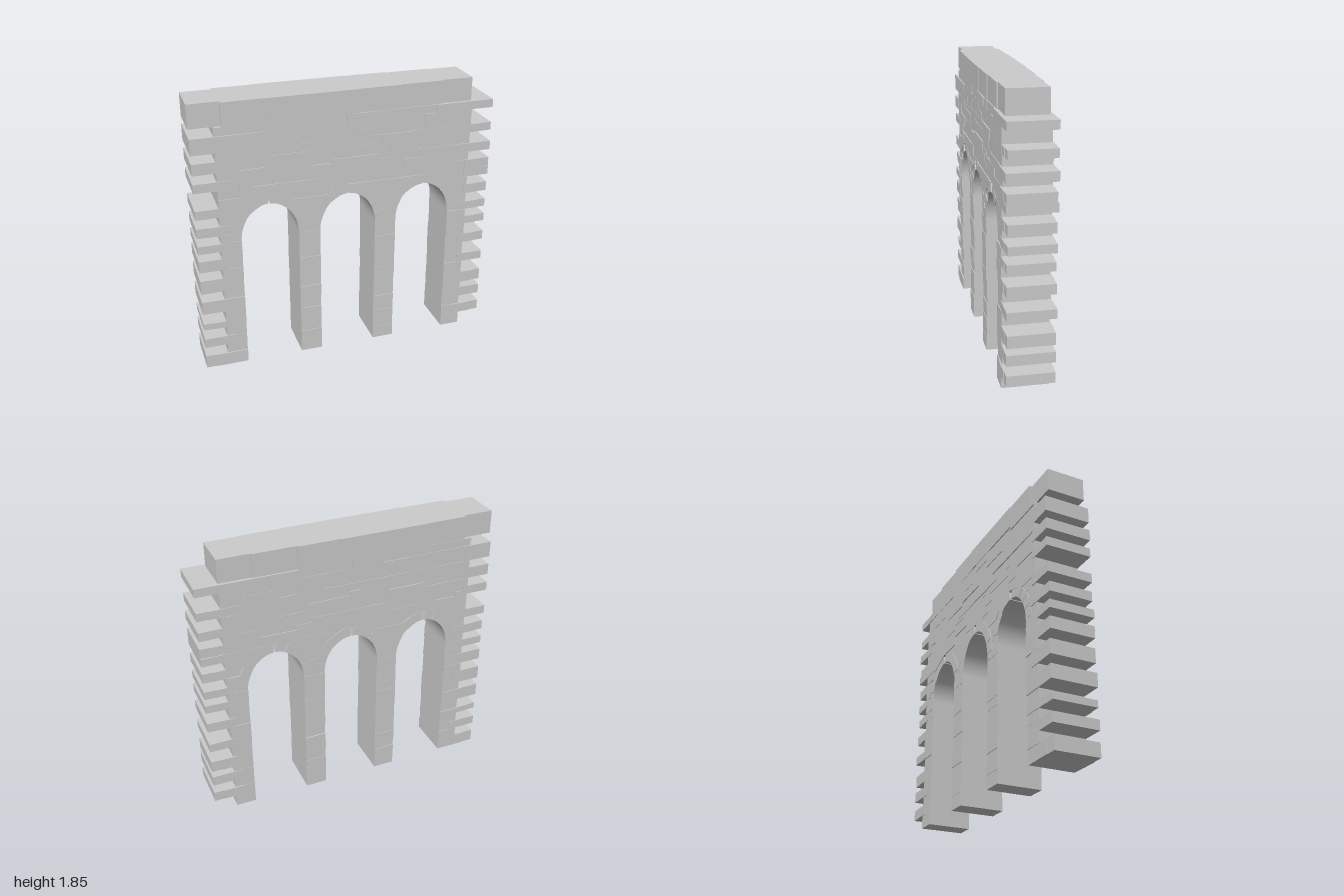
import * as THREE from 'three';

const stone = new THREE.MeshStandardMaterial({ color: 0xcccccc });
const SPRING = 0.92;                       // height where the arches begin
const IN = { rx: 0.19, ry: 0.235 };        // inner curve of the arch ring
const OUT = { rx: 0.26, ry: 0.3 };         // outer curve of the arch ring
const CENTRES = [-0.525, 0, 0.525];
const COURSES = [0, 0.09, 0.16, 0.225, 0.295, 0.34, 0.42, 0.51, 0.57, 0.665, 0.73, 0.81, 0.865,
  0.92, 0.975, 1.04, 1.105, 1.165, 1.285, 1.345, 1.405, 1.48, 1.535, 1.64, 1.695];
const TOP = 1.85;

let seed = 7;
const rand = () => (seed = (seed * 16807) % 2147483647) / 2147483647;
const depth = () => 0.145 + 0.009 * rand();

// A block with the given front outline, reaching from -back to front in z
function block(points, front, back, name) {
  const geo = new THREE.ExtrudeGeometry(new THREE.Shape(points.map(p => new THREE.Vector2(...p))),
    { depth: front + back, bevelEnabled: false });
  geo.translate(0, 0, -back);
  const mesh = new THREE.Mesh(geo, stone);
  mesh.name = name;
  return mesh;
}
const box = (x0, x1, y0, y1, front, back, name) =>
  block([[x0, y0], [x1, y0], [x1, y1], [x0, y1]], front, back, name);

// Half width of the space the courses leave for an arch at height y
function halfGap(y) {
  if (y < SPRING) return IN.rx;
  const t = (y - SPRING) / OUT.ry;
  return t >= 1 ? 0 : OUT.rx * Math.sqrt(1 - t * t);
}

// One run of wall between x = a and x = b, each given as [bottom, top], cut into stones
function addRun(group, a, b, y0, y1) {
  let left = a;
  const end = Math.min(...b);
  while (true) {
    const x = Math.max(...left) + 0.09 + 0.24 * rand();
    const last = x > end - 0.08;
    const right = last ? b : [x, x];
    if (!last && y0 > 1.22 && rand() < 0.3) {
      // two thin stones in place of a tall one
      const m = y0 + (y1 - y0) * (0.4 + 0.2 * rand());
      group.add(box(left[0], x, y0, m, depth(), depth(), 'stone'));
      group.add(box(left[0], x, m, y1, depth(), depth(), 'stone'));
    } else {
      group.add(block([[left[0], y0], [right[0], y0], [right[1], y1], [left[1], y1]],
        depth(), depth(), 'stone'));
    }
    if (last) return;
    left = right;
  }
}

// One course; its teeth stick out on the left or right end of the wall in turn
function addCourse(group, y0, y1, toothSide) {
  const g0 = halfGap(y0 < SPRING ? y0 : y0 + 1e-6);
  const g1 = y0 < SPRING ? g0 : halfGap(y1);
  let start = [-0.85, -0.85];
  if (g0 > 0) {
    for (const c of CENTRES) {
      addRun(group, start, [c - g0, c - g1], y0, y1);
      start = [c + g0, c + g1];
    }
  }
  addRun(group, start, [0.85, 0.85], y0, y1);
  // tooth, at times made of two stones
  const d = depth(), e = depth();
  const split = rand() < 0.4 ? 0.93 : 1;
  const tooth = (i, o, f, b) => group.add(
    box(Math.min(i * toothSide, o * toothSide), Math.max(i * toothSide, o * toothSide), y0, y1, f, b, 'tooth'));
  tooth(0.78 + 0.05 * rand(), split, d + 0.002, e + 0.002);
  if (split < 1) tooth(split, 1, d - 0.003, e - 0.002);
}

// Ring of wedge stones with a narrow open slot at the crown
function makeArch(cx) {
  const arch = new THREE.Group();
  arch.name = 'arch';
  const N = 5, SUB = 5;
  const at = (e, t, slot) => {
    const max = Math.acos(slot / e.rx);
    return [Math.cos(t * max) * e.rx, SPRING + Math.sin(t * max) * e.ry];
  };
  for (const side of [1, -1]) {
    for (let i = 0; i < N; i++) {
      const inner = [], outer = [];
      for (let j = 0; j <= SUB; j++) {
        const t = (i + j / SUB) / N;
        inner.push(at(IN, t, 0.004));
        outer.push(at(OUT, t, 0.018));
      }
      const pts = [...outer, ...inner.reverse()].map(([x, y]) => [cx + side * x, y]);
      arch.add(block(pts, 0.145 + 0.008 * rand(), 0.147 + 0.008 * rand(), 'archStone'));
    }
  }
  return arch;
}

export function createModel() {
  const model = new THREE.Group();
  model.name = 'archedWall';

  // Coursed wall and piers
  for (let i = 0; i < COURSES.length - 1; i++) {
    const course = new THREE.Group();
    course.name = 'course';
    const y0 = COURSES[i], y1 = COURSES[i + 1], side = i % 2 ? 1 : -1;
    if (y0 < 1.22 && y1 > 1.22) {
      // the course over the crowns is laid in two layers
      addCourse(course, y0, 1.22, side);
      addCourse(course, 1.22, y1, side);
    } else addCourse(course, y0, y1, side);
    model.add(course);
  }

  // Arches
  for (const c of CENTRES) model.add(makeArch(c));

  // Large cap stones: joints along x, then front and back depth of each
  const cap = new THREE.Group();
  cap.name = 'capCourse';
  const joints = [-1, -0.8, -0.535, 0.07, 0.35, 0.64, 0.85];
  const fronts = [0.125, 0.148, 0.15, 0.146, 0.14, 0.13];
  const backs = [0.13, 0.15, 0.155, 0.15, 0.14, 0.13];
  fronts.forEach((f, i) =>
    cap.add(box(joints[i], joints[i + 1], COURSES.at(-1), TOP, f, backs[i], 'capStone')));
  model.add(cap);

  return model;
}
